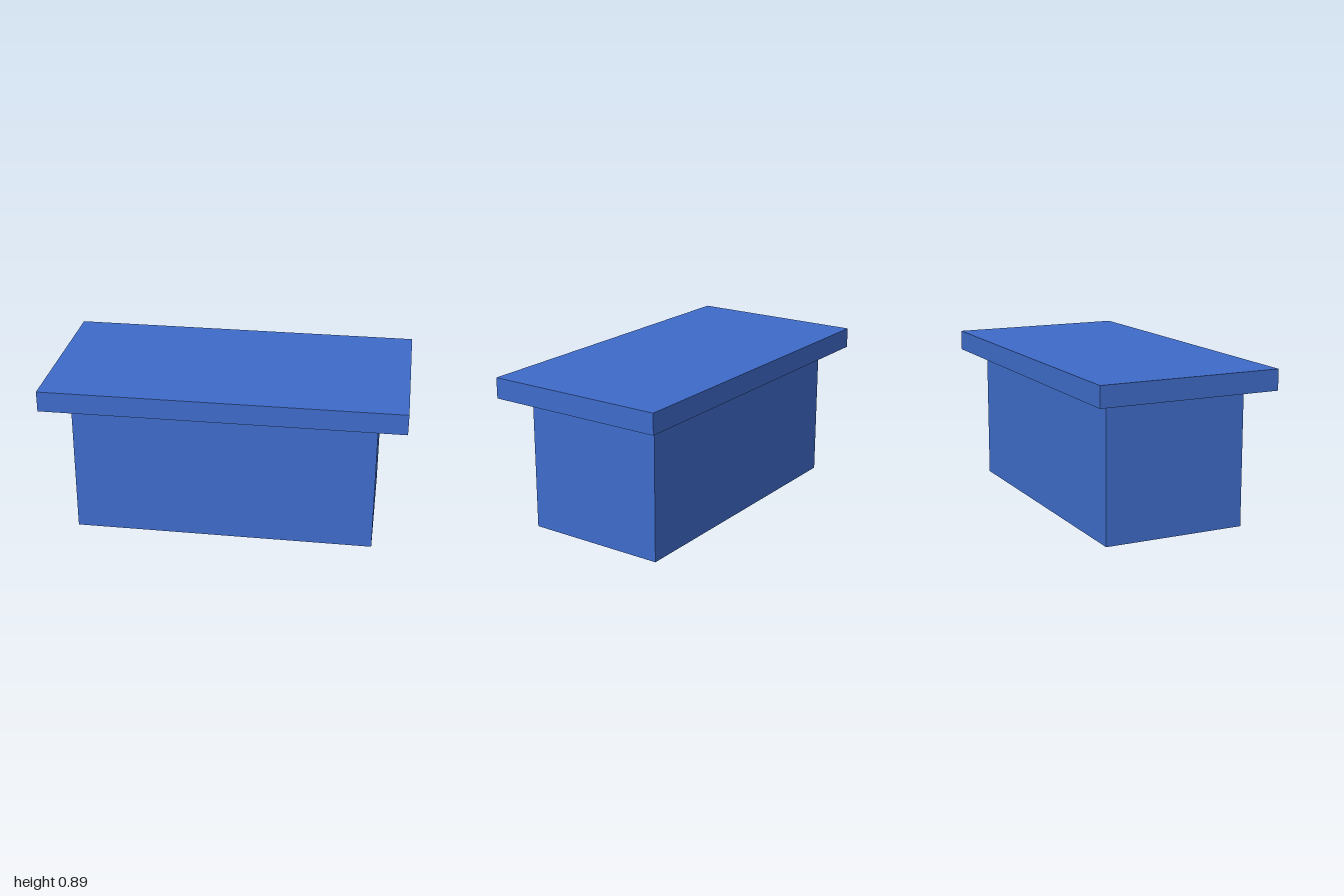
import * as THREE from 'three';

export function createModel() {
  const group = new THREE.Group();
  group.name = 'table';
  const material = new THREE.MeshStandardMaterial({ color: 0x3f6ccb });

  // Adds a box centred on x and z, resting at height y
  const addBox = (name, width, height, depth, y) => {
    const mesh = new THREE.Mesh(new THREE.BoxGeometry(width, height, depth), material);
    mesh.name = name;
    mesh.position.y = y + height / 2;
    group.add(mesh);
  };

  // Solid base
  addBox('base', 1.686, 0.771, 0.814, 0);
  // Overhanging slab
  addBox('top', 2, 0.116, 1.036, 0.771);

  return group;
}
